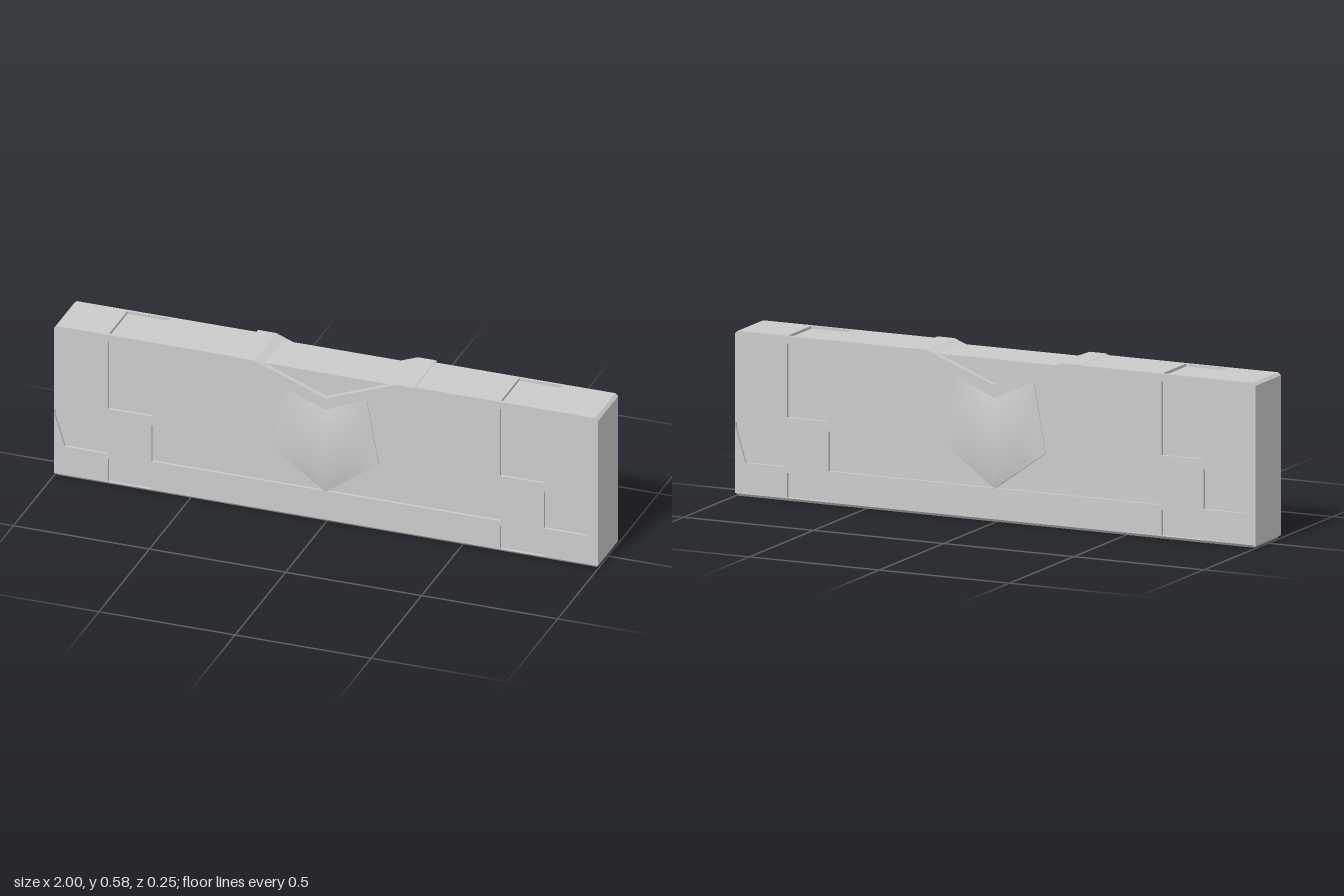
import * as THREE from 'three';
import { toCreasedNormals } from 'three/addons/utils/BufferGeometryUtils.js';

const material = new THREE.MeshStandardMaterial({ color: 0xcccccc });
const TOP = 0.582, CORE = 0.09, FACE = 0.1;

function part(name, geometry) {
  const mesh = new THREE.Mesh(geometry, material);
  mesh.name = name;
  return mesh;
}

const points = (list) => list.map(([x, y]) => new THREE.Vector2(x, y));

// Right half of an outline, listed bottom centre to top centre, mirrored in x
function mirrored(half) {
  const left = half.filter(([x]) => x > 0).reverse().map(([x, y]) => [-x, y]);
  return new THREE.Shape(points([...half, ...left]));
}

function slab(shape, z0, z1) {
  const geometry = new THREE.ExtrudeGeometry(shape, { depth: z1 - z0, bevelEnabled: false });
  return geometry.translate(0, 0, z0);
}

// Solid core with shallow recesses in its top and bottom
function core() {
  const shape = mirrored([
    [0, 0], [0.64, 0], [0.64, 0.008], [0.8, 0.008], [0.8, 0], [0.99, 0], [1, 0.01],
    [1, 0.572], [0.99, TOP], [0.8, TOP], [0.8, 0.572], [0.64, 0.572], [0.64, TOP],
    [0.26, TOP], [0.26, 0.572], [0, 0.572],
  ]);
  return part('core', slab(shape, -CORE, CORE));
}

// Face plate whose openings form the recessed panels
function facePlate() {
  const shape = mirrored([
    [0, 0.01], [1, 0.01], [1, 0.572], [0.99, TOP], [0.26, TOP], [0, 0.475],
  ]);
  const hole = (list) => shape.holes.push(new THREE.Path(points(list)));
  const rect = (x0, x1, y0, y1) => hole([[x0, y0], [x0, y1], [x1, y1], [x1, y0]]);
  rect(-0.64, 0.64, 0.12, 0.26);
  for (const s of [-1, 1]) {
    rect(s * 0.64, s * 0.8, 0.295, 0.555);
    rect(s * 0.64, s * 0.8, 0.012, 0.1);
    hole([[s * 0.801, 0.12], [s * 0.801, 0.26], [s * 0.998, 0.26], [s * 0.998, 0.24], [s * 0.96, 0.12]]);
  }
  return part('facePlate', slab(shape, CORE, FACE));
}

// Sloped strip along the lower edge
function lowerChamfer() {
  const shape = new THREE.Shape(points([[CORE, 0], [FACE, 0.01], [CORE, 0.01]]));
  const geometry = slab(shape, -0.99, 0.99).rotateY(-Math.PI / 2);
  return part('lowerChamfer', geometry);
}

// V-shaped band wrapping over the top
function chevron() {
  const shape = mirrored([[0, 0.44], [0.33, 0.582], [0.325, 0.585], [0.26, 0.585], [0, 0.485]]);
  return part('chevronBand', slab(shape, -0.11, 0.11));
}

// Curved central shield; its outermost ring of vertices drops back to the core
function shield() {
  const nu = 18, nv = 14;
  const geometry = new THREE.PlaneGeometry(1, 1, nu, nv);
  const pos = geometry.attributes.position;
  const inner = (i, n) => THREE.MathUtils.clamp((i - 1) / (n - 2), 0, 1);
  for (let k = 0; k < pos.count; k++) {
    const i = k % (nu + 1), j = Math.floor(k / (nu + 1));
    const u = inner(i, nu) * 2 - 1, v = 1 - inner(j, nv);
    const x = u * THREE.MathUtils.lerp(0.195, 0.15, v);
    const y = THREE.MathUtils.lerp(0.12 + 0.14 * Math.abs(u), 0.44 + 0.065 * Math.abs(u), v);
    const crown = 0.107 + 0.016 * Math.pow(Math.max(0, Math.sin(Math.PI * v)), 0.8);
    const edge = i === 0 || j === 0 || i === nu || j === nv;
    const z = edge ? CORE : 0.103 + (crown - 0.103) * Math.cos(u * Math.PI / 2);
    pos.setXYZ(k, x, y, z);
  }
  return part('centreShield', toCreasedNormals(geometry, 0.6));
}

export function createModel() {
  const model = new THREE.Group();
  model.name = 'barrier';
  model.add(core(), chevron());
  // Same dressing on front and back
  for (const [name, angle] of [['frontSide', 0], ['backSide', Math.PI]]) {
    const side = new THREE.Group();
    side.name = name;
    side.add(facePlate(), lowerChamfer(), shield());
    side.rotation.y = angle;
    model.add(side);
  }
  return model;
}
